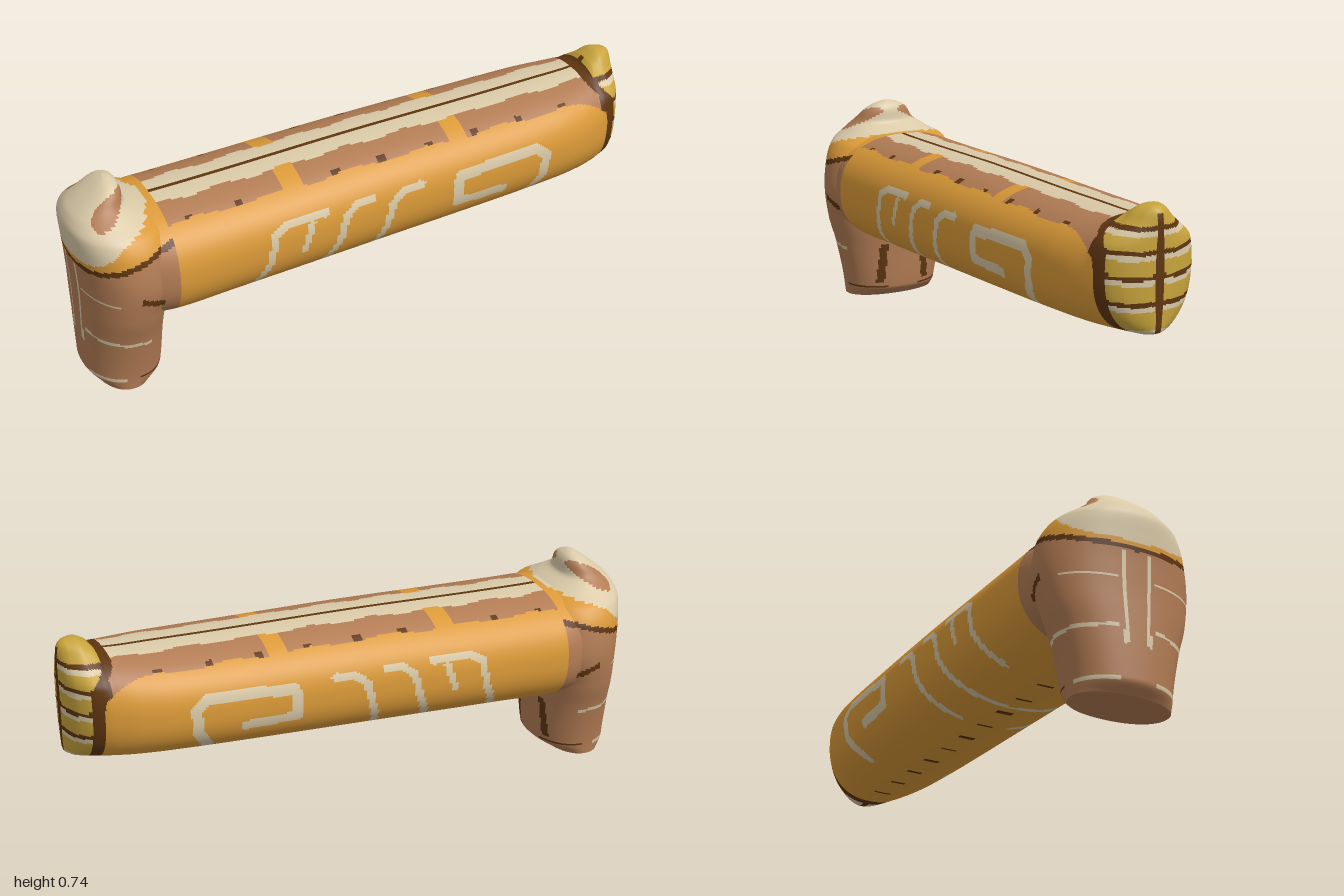
import * as THREE from 'three';

const paint = (name, color) => Object.assign(new THREE.MeshStandardMaterial({ color }), { name });
const materials = [
  paint('orange', 0xdb9a38), paint('brown', 0xb27c54), paint('darkBrown', 0x5e3510),
  paint('cream', 0xdacaa8), paint('yellow', 0xc8a43c),
];
const [ORANGE, BROWN, DARK, CREAM, YELLOW] = [0, 1, 2, 3, 4];
const { smoothstep } = THREE.MathUtils;

// Smooth lookup of column k in a table whose first column is the position
function sample(table, s, k) {
  const n = table.length;
  let i = 0;
  while (i < n - 2 && s > table[i + 1][0]) i++;
  const slope = (a, b) => (table[b][k] - table[a][k]) / (table[b][0] - table[a][0]);
  const tangent = (j) => {
    if (j === 0 || j === n - 1) return j ? slope(n - 2, n - 1) : slope(0, 1);
    const a = slope(j - 1, j), b = slope(j, j + 1);
    return a * b <= 0 ? 0 : (2 * a * b) / (a + b);
  };
  const h = table[i + 1][0] - table[i][0], t = (s - table[i][0]) / h;
  const t2 = t * t, t3 = t2 * t;
  return (2 * t3 - 3 * t2 + 1) * table[i][k] + (t3 - 2 * t2 + t) * h * tangent(i)
    + (3 * t2 - 2 * t3) * table[i + 1][k] + (t3 - t2) * h * tangent(i + 1);
}

// Rounded-square ring point
const ringPoint = (a, power) => {
  const f = (v) => Math.sign(v) * Math.abs(v) ** (2 / power);
  return [f(Math.cos(a)), f(Math.sin(a))];
};

// Closed skin through rings, each face coloured by its centre
function skin(name, rows, cols, point, rule) {
  const pos = [], faces = materials.map(() => []);
  // Half-step offset lets one row of faces straddle z = 0
  for (let i = 0; i <= rows; i++)
    for (let j = 0; j < cols; j++) pos.push(...point(i / rows, ((j + 0.5) / cols) * Math.PI * 2));
  const mid = (ids, c) => ids.reduce((s, id) => s + pos[id * 3 + c], 0) / ids.length;
  const colour = (ids) => rule(mid(ids, 0), mid(ids, 1), mid(ids, 2));
  for (let i = 0; i < rows; i++) for (let j = 0; j < cols; j++) {
    const a = i * cols + j, b = i * cols + (j + 1) % cols, c = a + cols, d = b + cols;
    faces[colour([a, b, c, d])].push(a, b, c, b, d, c);
  }
  // End caps with their own vertices
  for (const row of [0, rows]) {
    const ring = Array.from({ length: cols }, (_, j) => row * cols + j);
    const centre = pos.length / 3;
    pos.push(mid(ring, 0), mid(ring, 1), mid(ring, 2));
    for (const id of ring) pos.push(pos[id * 3], pos[id * 3 + 1], pos[id * 3 + 2]);
    for (let j = 0; j < cols; j++) {
      const a = centre + 1 + j, b = centre + 1 + (j + 1) % cols;
      const tri = row ? [centre, a, b] : [centre, b, a];
      faces[colour(tri)].push(...tri);
    }
  }
  const geometry = new THREE.BufferGeometry();
  geometry.setAttribute('position', new THREE.Float32BufferAttribute(pos, 3));
  geometry.setIndex(faces.flat());
  let start = 0;
  faces.forEach((f, m) => {
    if (f.length) geometry.addGroup(start, f.length, m);
    start += f.length;
  });
  geometry.computeVertexNormals();
  const mesh = new THREE.Mesh(geometry, materials);
  mesh.name = name;
  return mesh;
}

// Body: x, bottom, top, half width
const BODY = [
  [-0.97, 0.30, 0.57, 0.05], [-0.9, 0.25, 0.61, 0.17], [-0.8, 0.24, 0.62, 0.235], [-0.7, 0.237, 0.622, 0.254],
  [-0.5, 0.25, 0.63, 0.253], [0, 0.282, 0.656, 0.246], [0.5, 0.314, 0.674, 0.236], [0.7, 0.327, 0.683, 0.225],
  [0.8, 0.333, 0.687, 0.208], [0.87, 0.338, 0.695, 0.185], [0.9, 0.34, 0.722, 0.172], [0.94, 0.343, 0.742, 0.15],
  [0.97, 0.345, 0.74, 0.115], [0.985, 0.35, 0.733, 0.082], [0.995, 0.355, 0.72, 0.045], [1, 0.37, 0.70, 0.015],
];

// Leg and head: y, rear x, inner x, half width
const LEG = [
  [0, -0.95, -0.77, 0.168], [0.04, -0.978, -0.722, 0.172], [0.2, -0.98, -0.71, 0.205], [0.3, -0.98, -0.70, 0.235],
  [0.42, -0.985, -0.66, 0.254], [0.52, -0.995, -0.66, 0.24], [0.58, -1, -0.68, 0.21], [0.62, -0.985, -0.75, 0.15],
  [0.65, -0.955, -0.805, 0.11], [0.69, -0.905, -0.812, 0.08], [0.712, -0.875, -0.825, 0.045], [0.72, -0.86, -0.84, 0.012],
];

// Painted strokes on both flanks: half width, then points in x, y
const STROKES = [
  [0.013, [-0.45, 0.29], [-0.40, 0.4], [-0.38, 0.5], [-0.33, 0.525], [-0.2, 0.53]],
  [0.012, [-0.28, 0.42], [-0.25, 0.51]],
  [0.013, [-0.21, 0.28], [-0.15, 0.42], [-0.13, 0.5], [-0.09, 0.53], [-0.03, 0.535]],
  [0.013, [-0.02, 0.3], [0.02, 0.42], [0.04, 0.5], [0.08, 0.535], [0.15, 0.54]],
  [0.018, [0.46, 0.435], [0.28, 0.435], [0.29, 0.53], [0.45, 0.545], [0.59, 0.55], [0.625, 0.52], [0.62, 0.44], [0.57, 0.36]],
];
const onStroke = (x, y) => STROKES.some(([r, ...line]) => line.slice(1).some(([bx, by], i) => {
  const [ax, ay] = line[i], dx = bx - ax, dy = by - ay;
  const t = Math.min(1, Math.max(0, ((x - ax) * dx + (y - ay) * dy) / (dx * dx + dy * dy)));
  return Math.hypot(x - ax - t * dx, y - ay - t * dy) < r;
}));

function legColour(x, y, z) {
  const az = Math.abs(z), u = y - 0.3 * (x + 0.87);
  // Head: cream cap with a brown patch each side, and an orange collar thinning to the rear
  if (u > 0.53 + 0.05 * smoothstep(x, -0.97, -0.85)) {
    const dx = x + 0.877, dy = y - 0.655 - 0.5 * dx;
    return az > 0.028 && (dx / 0.064) ** 2 + (dy / 0.03) ** 2 < 1 ? BROWN : CREAM;
  }
  if (u > 0.515) return ORANGE;
  if (u > 0.497) return DARK;
  // Fine seams and blotches on the leg
  if (x > -0.84) {
    if (y > 0.06 && y < 0.21 && Math.abs(az - 0.095 + 0.08 * y) < 0.015) return DARK;
    if (y > 0.038 && y < 0.048 && az > 0.06) return DARK;
    if (x < -0.755 && Math.abs(y - 0.36 + 0.5 * (x + 0.78)) < 0.012) return DARK;
  }
  if (x < -0.88 && y > 0.15 && y < 0.46 && Math.abs(az - 0.04) < 0.006) return CREAM;
  if (az > 0.06) {
    if (x < -0.8 && Math.abs(y - 0.205 + 0.1 * (x + 0.95)) < 0.006) return CREAM;
    if (x < -0.9 && Math.abs(y - 0.37) < 0.006) return CREAM;
    if (x < -0.88 && Math.abs(y - 0.04) < 0.006) return CREAM;
  }
  return BROWN;
}

function bodyColour(x, y, z) {
  const az = Math.abs(z);
  const upper = y > (sample(BODY, x, 1) + sample(BODY, x, 2)) / 2;
  // Ribbed yellow end with a dark rim
  const rim = 0.937 - 0.055 * smoothstep(y, 0.6, 0.69);
  if (x > rim) {
    if (az < 0.01 && y < 0.72) return DARK;
    const rib = y - 1.2 * (az - 0.06) ** 2;
    for (const r of [0.675, 0.603, 0.527, 0.446]) {
      if (Math.abs(rib - r) < 0.007) return DARK;
      if (Math.abs(rib - r + 0.015) < 0.008) return CREAM;
    }
    return rib < 0.365 ? CREAM : YELLOW;
  }
  if (x > rim - 0.035) return DARK;
  if (x < -0.715) return legColour(x, y, z);
  // Back stripes: dark spine, cream, brown, with orange crossbars
  if (upper && az < 0.165 + 0.006 * Math.sin(x * 23)) {
    if (az < 0.004) return DARK;
    if (az < 0.075 + 0.007 * Math.sin(x * 29)) return CREAM;
    if (Math.min(Math.abs(x + 0.28), Math.abs(x - 0.32)) < 0.03) return ORANGE;
    return az > 0.148 && Math.sin(x * 37) > 0.85 ? DARK : BROWN;
  }
  // Small marks along the belly
  if (!upper && az < 0.03 && (x + 0.7) % 0.135 < 0.014) return DARK;
  return onStroke(x, y) ? CREAM : ORANGE;
}

export function createModel() {
  const model = new THREE.Group();
  model.name = 'model';
  // Rings crowd towards the blunt end, whose upper knob is pinched in
  model.add(skin('body', 250, 192, (t, a) => {
    const x = -0.97 + 1.97 * Math.sin(t * Math.PI / 2), [c, s] = ringPoint(a, 2.35);
    const lo = sample(BODY, x, 1), hi = sample(BODY, x, 2), y = (lo + hi) / 2 + c * (hi - lo) / 2;
    const pinch = 1 - 0.32 * smoothstep(x, 0.85, 0.92) * smoothstep(y, 0.62, 0.71);
    return [x, y, s * sample(BODY, x, 3) * pinch];
  }, bodyColour));
  model.add(skin('legAndHead', 110, 128, (t, a) => {
    const y = 0.72 * t, [c, s] = ringPoint(a, 2.2);
    const lo = sample(LEG, y, 1), hi = sample(LEG, y, 2);
    return [(lo + hi) / 2 + c * (hi - lo) / 2, y, -s * sample(LEG, y, 3)];
  }, legColour));
  return model;
}
